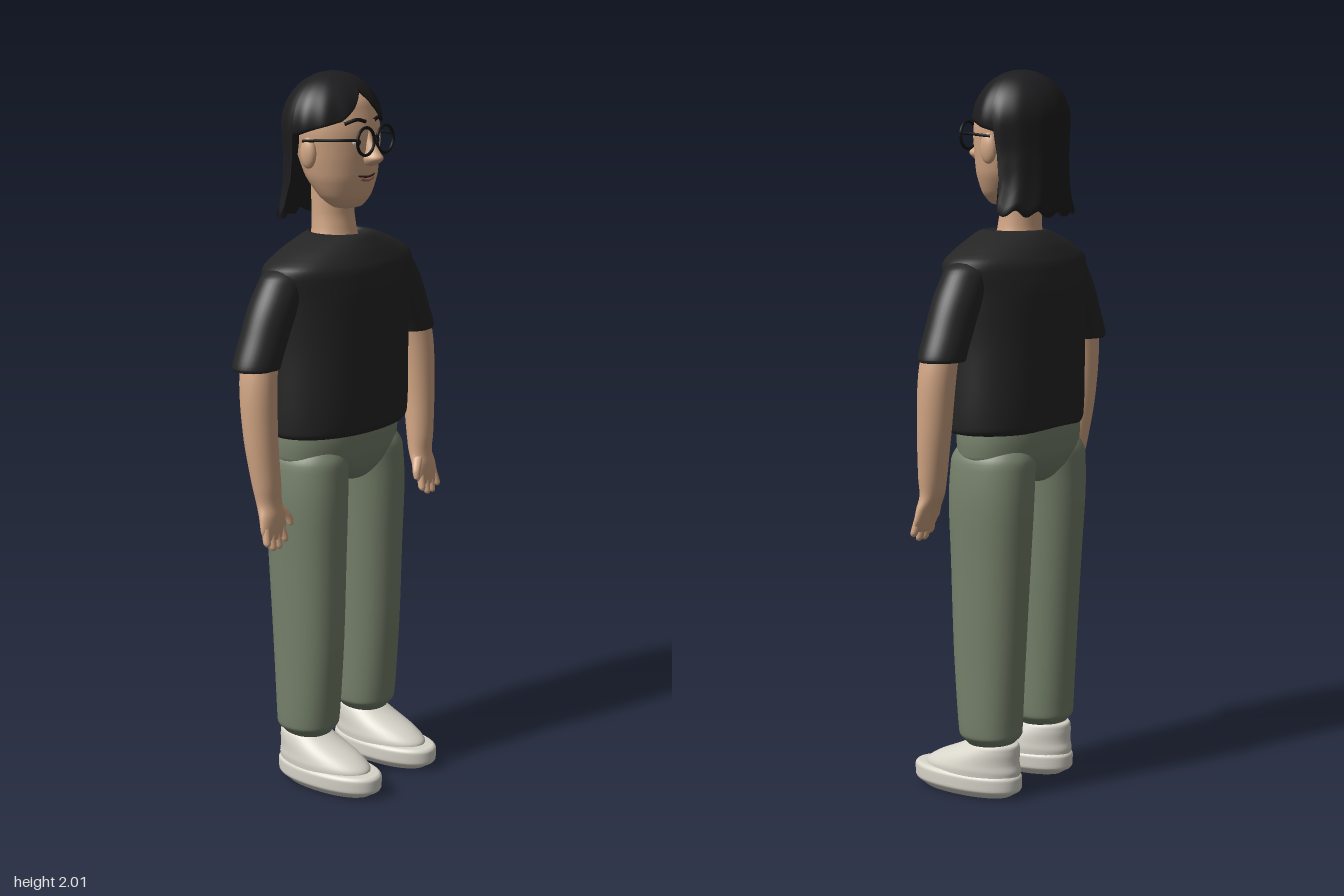
import * as THREE from 'three';

const mat = (name, color) => {
  const m = new THREE.MeshStandardMaterial({ color });
  m.name = name;
  return m;
};

// Closed-ring surface: point(angle, row) with rows running from bottom to top
function ringSurface(point, rows, sides) {
  const pos = [], index = [];
  for (let j = 0; j < rows; j++)
    for (let i = 0; i < sides; i++) pos.push(...point((i / sides) * Math.PI * 2, j));
  for (let j = 0; j < rows - 1; j++)
    for (let i = 0; i < sides; i++) {
      const k = (i + 1) % sides, a = j * sides + i, b = j * sides + k;
      index.push(a, b, b + sides, a, b + sides, a + sides);
    }
  const g = new THREE.BufferGeometry();
  g.setAttribute('position', new THREE.Float32BufferAttribute(pos, 3));
  g.setIndex(index);
  g.computeVertexNormals();
  return g;
}

// Smooth loft through oval sections [y, centreX, centreZ, radiusX, radiusZ]
function loft(sections, s = 1, sides = 40, power = 2) {
  const centre = new THREE.CatmullRomCurve3(sections.map(([y, x, z]) => new THREE.Vector3(x * s, y, z)));
  const radius = new THREE.CatmullRomCurve3(sections.map((c) => new THREE.Vector3(c[3], c[4], 0)));
  const steps = (sections.length - 1) * 5;
  const bend = (v) => Math.sign(v) * Math.abs(v) ** (2 / power);
  const rows = [];
  for (let j = 0; j <= steps; j++) rows.push([centre.getPoint(j / steps), radius.getPoint(j / steps)]);
  return ringSurface((a, j) => {
    const [c, r] = rows[j];
    return [c.x + Math.max(0, r.x) * bend(Math.sin(a)), c.y, c.z + Math.max(0, r.y) * bend(Math.cos(a))];
  }, rows.length, sides);
}

// Piecewise linear lookup in [[key, value], ...] with rising keys
function lookup(table, k) {
  if (k <= table[0][0]) return table[0][1];
  for (let i = 1; i < table.length; i++) {
    const [k0, v0] = table[i - 1], [k1, v1] = table[i];
    if (k <= k1) return v0 + ((v1 - v0) * (k - k0)) / (k1 - k0);
  }
  return table[table.length - 1][1];
}

const tube = (points, r) =>
  new THREE.TubeGeometry(new THREE.CatmullRomCurve3(points.map((p) => new THREE.Vector3(...p))), 16, r, 8);

// Hair: domed crown with a centre parting, falling long behind the ears
function hairGeometry() {
  const hemLine = [[0, 1.955], [0.25, 1.91], [0.57, 1.875], [1, 1.86], [1.4, 1.845], [1.68, 1.835], [1.85, 1.62], [3.15, 1.61]];
  const width = [[1.61, 0.193], [1.65, 0.168], [1.7, 0.152], [1.78, 0.149], [1.86, 0.16]];
  const n = 26;
  return ringSurface((a, j) => {
    const side = Math.min(a, Math.PI * 2 - a);
    const hem = lookup(hemLine, side) + (side > 1.85 ? 0.009 * Math.cos(14 * a) : 0);
    const t = j < 2 ? 1 : 1 - (j - 2) / n;
    let y = 2 - (2 - hem) * (1 - Math.cos((t * Math.PI) / 2));
    if (j === 0) y = Math.max(hem, 1.86);
    const dome = y > 1.86 ? Math.sqrt(Math.max(0, 1 - ((y - 1.86) / 0.14) ** 2)) : 1;
    const k = dome * [0.74, 0.88][j < 2 ? j : 2] || dome * (j < 2 ? 0 : 1);
    const lock = 1 + 0.014 * t * t * Math.cos(14 * a);
    return [lookup(width, y) * k * lock * Math.sin(a), y, -0.063 + 0.122 * k * lock * Math.cos(a)];
  }, n + 3, 120);
}

export function createModel() {
  const model = new THREE.Group();
  model.name = 'standingPerson';
  const skin = mat('skin', 0xd2a684), shirt = mat('shirt black', 0x252525), hair = mat('hair black', 0x1d1d1f);
  const pants = mat('trouser green', 0x76816b), shoe = mat('shoe cream', 0xd8d5ca), frame = mat('glasses black', 0x111111);
  const white = mat('eye white', 0xe6e0d8), iris = mat('eye brown', 0x2e211b), lip = mat('lip', 0xa06a58);
  const add = (name, geometry, material) => {
    const mesh = new THREE.Mesh(geometry, material);
    mesh.name = name;
    model.add(mesh);
    return mesh;
  };
  const blob = (name, material, p, r) => {
    const m = add(name, new THREE.SphereGeometry(1, 20, 14), material);
    m.position.set(...p);
    m.scale.set(...r);
    return m;
  };

  // Shirt body and hips
  add('shirtBody', loft([
    [1.025, 0, -0.045, 0, 0], [1.02, 0, -0.045, 0.238, 0.142], [1.035, 0, -0.045, 0.251, 0.15],
    [1.1, 0, -0.045, 0.253, 0.154], [1.25, 0, -0.045, 0.25, 0.157], [1.4, 0, -0.045, 0.262, 0.156],
    [1.48, 0, -0.042, 0.277, 0.143], [1.53, 0, -0.04, 0.195, 0.117], [1.566, 0, -0.038, 0.085, 0.083],
    [1.555, 0, -0.045, 0.072, 0.068], [1.54, 0, -0.05, 0, 0]], 1, 56, 2.1), shirt);
  add('hips', loft([
    [0.865, 0, -0.052, 0, 0], [0.872, 0, -0.052, 0.06, 0.085], [0.91, 0, -0.053, 0.16, 0.118],
    [0.95, 0, -0.055, 0.221, 0.132], [1.0, 0, -0.055, 0.225, 0.138], [1.04, 0, -0.055, 0.222, 0.138]], 1, 48, 2.1), pants);

  for (const s of [1, -1]) {
    const side = s > 0 ? 'left' : 'right';
    // Sleeve, arm and hand
    add(side + 'Sleeve', loft([
      [1.245, 0.35, -0.045, 0, 0], [1.235, 0.35, -0.045, 0.067, 0.058], [1.245, 0.35, -0.045, 0.071, 0.062],
      [1.32, 0.316, -0.045, 0.073, 0.063], [1.4, 0.275, -0.045, 0.076, 0.064],
      [1.47, 0.225, -0.045, 0.08, 0.06], [1.51, 0.2, -0.045, 0.02, 0.02]], s), shirt);
    add(side + 'Arm', loft([
      [0.765, 0.356, 0.016, 0, 0], [0.775, 0.355, 0.014, 0.036, 0.011], [0.8, 0.353, 0.01, 0.049, 0.016],
      [0.835, 0.349, 0.003, 0.048, 0.023], [0.87, 0.348, -0.008, 0.041, 0.03], [0.92, 0.352, -0.013, 0.043, 0.037],
      [1.05, 0.36, -0.025, 0.048, 0.046], [1.2, 0.357, -0.034, 0.052, 0.051], [1.3, 0.34, -0.04, 0.05, 0.05]], s, 32), skin);
    [0.318, 0.343, 0.368, 0.392].forEach((x, i) => {
      const tip = [0.757, 0.743, 0.743, 0.758][i];
      add(side + 'Finger' + (i + 1), loft([
        [tip, x, 0.022, 0, 0], [tip + 0.004, x, 0.022, 0.007, 0.007], [tip + 0.012, x, 0.02, 0.0105, 0.0105],
        [0.81, x * 0.8 + 0.071, 0.01, 0.0125, 0.012]], s, 14), skin);
    });
    add(side + 'Thumb', loft([
      [0.797, 0.292, 0.02, 0, 0], [0.801, 0.292, 0.02, 0.008, 0.008], [0.825, 0.297, 0.015, 0.0125, 0.012],
      [0.862, 0.325, 0, 0.016, 0.016]], s, 14), skin);

    // Trouser leg
    add(side + 'TrouserLeg', loft([
      [0.15, 0.132, -0.05, 0, 0], [0.15, 0.132, -0.05, 0.07, 0.077], [0.165, 0.132, -0.05, 0.083, 0.088],
      [0.2, 0.132, -0.049, 0.085, 0.091], [0.4, 0.132, -0.047, 0.088, 0.104], [0.65, 0.132, -0.05, 0.094, 0.115],
      [0.85, 0.132, -0.053, 0.1, 0.123], [0.94, 0.125, -0.055, 0.1, 0.122], [1.0, 0.115, -0.055, 0.07, 0.09]], s, 40, 2.15), pants);

    // Shoe
    add(side + 'Sole', loft([
      [0, 0.132, 0.028, 0, 0], [0, 0.132, 0.028, 0.073, 0.16], [0.012, 0.132, 0.028, 0.083, 0.172],
      [0.042, 0.132, 0.028, 0.084, 0.173], [0.054, 0.132, 0.028, 0.075, 0.163], [0.056, 0.132, 0.028, 0, 0]], s, 48, 2.15), shoe);
    add(side + 'ShoeUpper', loft([
      [0.045, 0.132, 0.012, 0.079, 0.152], [0.06, 0.132, 0.01, 0.08, 0.152], [0.085, 0.132, -0.005, 0.077, 0.133],
      [0.12, 0.132, -0.044, 0.068, 0.094], [0.14, 0.132, -0.06, 0.058, 0.072], [0.15, 0.132, -0.06, 0, 0]], s), shoe);

    // Ear, eye, brow and one half of the glasses
    blob(side + 'Ear', skin, [s * 0.13, 1.79, -0.042], [0.016, 0.042, 0.025]);
    blob(side + 'Eye', white, [s * 0.042, 1.818, 0.056], [0.019, 0.011, 0.007]);
    blob(side + 'Iris', iris, [s * 0.042, 1.818, 0.061], [0.008, 0.009, 0.004]);
    add(side + 'Brow', tube([[s * 0.018, 1.872, 0.065], [s * 0.048, 1.879, 0.06], [s * 0.082, 1.868, 0.042]], 0.005), frame);
    const lens = add(side + 'GlassesRim', new THREE.TorusGeometry(0.037, 0.0042, 8, 36), frame);
    lens.position.set(s * 0.043, 1.822, 0.086);
    add(side + 'GlassesArm', tube([[s * 0.079, 1.828, 0.086], [s * 0.115, 1.829, 0.055], [s * 0.136, 1.827, 0], [s * 0.138, 1.822, -0.055]], 0.004), frame);
  }
  add('glassesBridge', tube([[-0.009, 1.828, 0.086], [0, 1.833, 0.088], [0.009, 1.828, 0.086]], 0.004), frame);

  // Neck and head
  add('neck', loft([[1.53, 0, -0.055, 0.078, 0.066], [1.575, 0, -0.057, 0.068, 0.058],
    [1.62, 0, -0.06, 0.065, 0.055], [1.72, 0, -0.06, 0.068, 0.058]]), skin);
  add('head', loft([
    [1.628, 0, -0.012, 0, 0], [1.636, 0, -0.012, 0.046, 0.037], [1.665, 0, -0.017, 0.083, 0.062],
    [1.72, 0, -0.03, 0.112, 0.09], [1.78, 0, -0.04, 0.125, 0.105], [1.85, 0, -0.05, 0.132, 0.115],
    [1.92, 0, -0.06, 0.12, 0.105], [1.965, 0, -0.06, 0.06, 0.06], [1.975, 0, -0.06, 0, 0]], 1, 48), skin);
  add('nose', loft([
    [1.75, 0, 0.068, 0, 0], [1.757, 0, 0.07, 0.017, 0.022], [1.773, 0, 0.075, 0.024, 0.034],
    [1.79, 0, 0.07, 0.017, 0.029], [1.82, 0, 0.06, 0.012, 0.017], [1.85, 0, 0.055, 0.006, 0.01]], 1, 24), skin);
  add('mouth', tube([[-0.036, 1.726, 0.054], [-0.012, 1.722, 0.06], [0.012, 1.722, 0.06], [0.036, 1.726, 0.054]], 0.003), iris);
  add('lowerLip', tube([[-0.026, 1.718, 0.056], [0, 1.713, 0.059], [0.026, 1.718, 0.056]], 0.0055), lip);

  add('hair', hairGeometry(), hair);
  return model;
}
